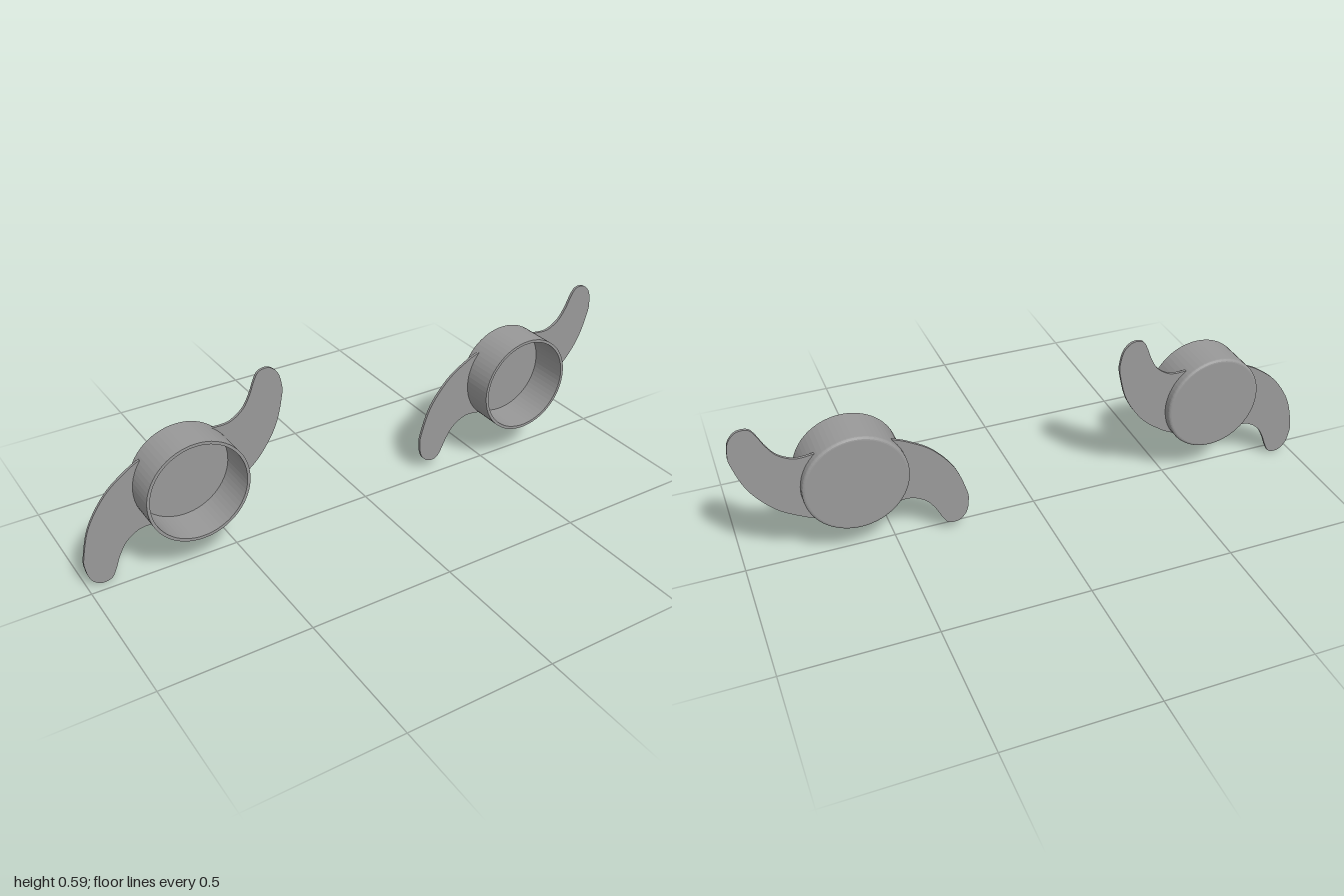
import * as THREE from 'three';

const R = 0.1735;     // cup radius
const WALL = 0.01;    // cup wall thickness
const BACK = -0.074, FRONT = 0.075;

// Shallow cup, open to the front, with a rounded back edge
function cupGeometry() {
  const fillet = 0.01;
  const profile = [new THREE.Vector2(0, BACK)];
  for (let i = 0; i <= 4; i++) {
    const a = (i / 4) * Math.PI / 2;
    profile.push(new THREE.Vector2(
      R - fillet + fillet * Math.sin(a),
      BACK + fillet - fillet * Math.cos(a)));
  }
  profile.push(
    new THREE.Vector2(R, FRONT),
    new THREE.Vector2(R - WALL, FRONT),
    new THREE.Vector2(R - WALL, BACK + WALL),
    new THREE.Vector2(0, BACK + WALL));
  return new THREE.LatheGeometry(profile, 64).rotateX(Math.PI / 2);
}

// Thin curved wing with a blunt tip, whose root follows the cup wall
function wingGeometry() {
  const outline = [
    [0.141, -0.104], [0.184, -0.081], [0.26, -0.021], [0.324, 0.075],
    [0.353, 0.182], [0.353, 0.225], [0.342, 0.265], [0.319, 0.289],
    [0.295, 0.2945], [0.271, 0.286], [0.255, 0.257], [0.238, 0.214],
    [0.211, 0.171], [0.163, 0.141], [0.104, 0.139],
  ].map(([x, y]) => new THREE.Vector2(x, y));
  const shape = new THREE.Shape(new THREE.SplineCurve(outline).getPoints(84));
  const root = (p) => Math.atan2(p.y, p.x);
  shape.absarc(0, 0, R - WALL / 2, root(outline[outline.length - 1]), root(outline[0]), true);
  return new THREE.ExtrudeGeometry(shape, { depth: 0.0095, bevelEnabled: false, curveSegments: 16 })
    .translate(0, 0, -0.0437);
}

export function createModel() {
  const model = new THREE.Group();
  model.name = 'wingedCups';
  const material = new THREE.MeshStandardMaterial({ color: 0x999999, flatShading: true });
  const cup = cupGeometry();
  const wing = wingGeometry();

  // Two identical winged cups; the left one is turned slightly
  for (const [name, x, turn] of [['rightWingedCup', -0.645, 0], ['leftWingedCup', 0.624, -0.098]]) {
    const unit = new THREE.Group();
    unit.name = name;
    unit.position.set(x, 0.2955, 0);
    unit.rotation.z = turn;

    const body = new THREE.Mesh(cup, material);
    body.name = 'cup';
    unit.add(body);

    for (const [wingName, angle] of [['upperWing', 0], ['lowerWing', Math.PI]]) {
      const mesh = new THREE.Mesh(wing, material);
      mesh.name = wingName;
      mesh.rotation.z = angle;
      unit.add(mesh);
    }
    model.add(unit);
  }
  return model;
}
